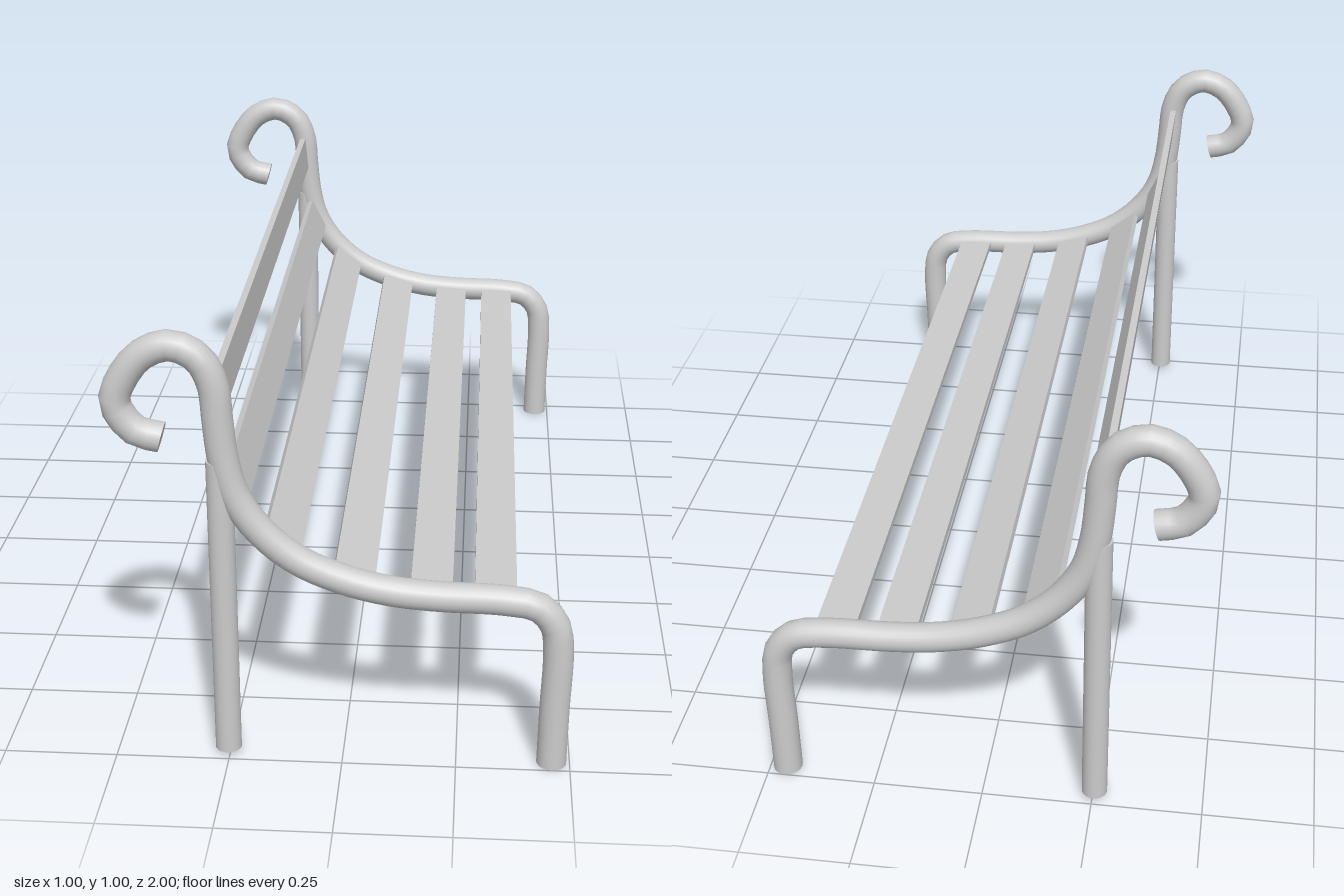
import * as THREE from 'three';

const material = new THREE.MeshStandardMaterial({ color: 0xcccccc });
const R = 0.033, SIDE_Z = 0.967;

// Centre line of the bent side frame, from scroll tip to front foot
const path = new THREE.CatmullRomCurve3([
  [-0.372, 0.762], [-0.427, 0.777], [-0.466, 0.838], [-0.447, 0.895], [-0.402, 0.948],
  [-0.345, 0.967], [-0.289, 0.94], [-0.262, 0.885], [-0.254, 0.8], [-0.246, 0.72],
  [-0.225, 0.635], [-0.178, 0.558], [-0.1, 0.488], [0, 0.442], [0.1, 0.417],
  [0.2, 0.407], [0.35, 0.402], [0.42, 0.388], [0.456, 0.345], [0.465, 0.28],
  [0.462, 0.14], [0.46, 0],
].map(([x, y]) => new THREE.Vector3(x, y, 0)));

function add(parent, name, geometry, x = 0, y = 0, z = 0) {
  const mesh = new THREE.Mesh(geometry, material);
  mesh.name = name;
  mesh.position.set(x, y, z);
  parent.add(mesh);
  return mesh;
}

// Flat disc closing one end of the bent tube
function addCap(parent, name, t, sign) {
  const p = path.getPointAt(t);
  const cap = add(parent, name, new THREE.CircleGeometry(R, 20), p.x, p.y, p.z);
  const dir = path.getTangentAt(t).multiplyScalar(sign);
  cap.quaternion.setFromUnitVectors(new THREE.Vector3(0, 0, 1), dir);
}

function makeSide(name, z) {
  const side = new THREE.Group();
  side.name = name;
  side.position.z = z;
  add(side, 'bentFrame', new THREE.TubeGeometry(path, 64, R, 20));
  addCap(side, 'scrollEnd', 0, -1);
  addCap(side, 'frontFoot', 1, 1);
  add(side, 'backLeg', new THREE.CylinderGeometry(0.029, 0.029, 0.7, 20), -0.254, 0.363, 0);
  return side;
}

export function createModel() {
  const bench = new THREE.Group();
  bench.name = 'bench';
  bench.add(makeSide('frontSide', SIDE_Z), makeSide('backSide', -SIDE_Z));

  // Slats: centre x, centre y, tilt about the long axis
  const slats = [
    [-0.26, 0.838, -1.48], [-0.224, 0.648, -1.13], [-0.129, 0.512, -0.66],
    [0.025, 0.437, -0.28], [0.19, 0.41, -0.08], [0.328, 0.405, -0.03],
  ];
  slats.forEach(([x, y, tilt], i) => {
    const slat = add(bench, `slat${i + 1}`, new THREE.BoxGeometry(0.09, 0.016, 2 * SIDE_Z), x, y, 0);
    slat.rotation.z = tilt;
  });
  return bench;
}
